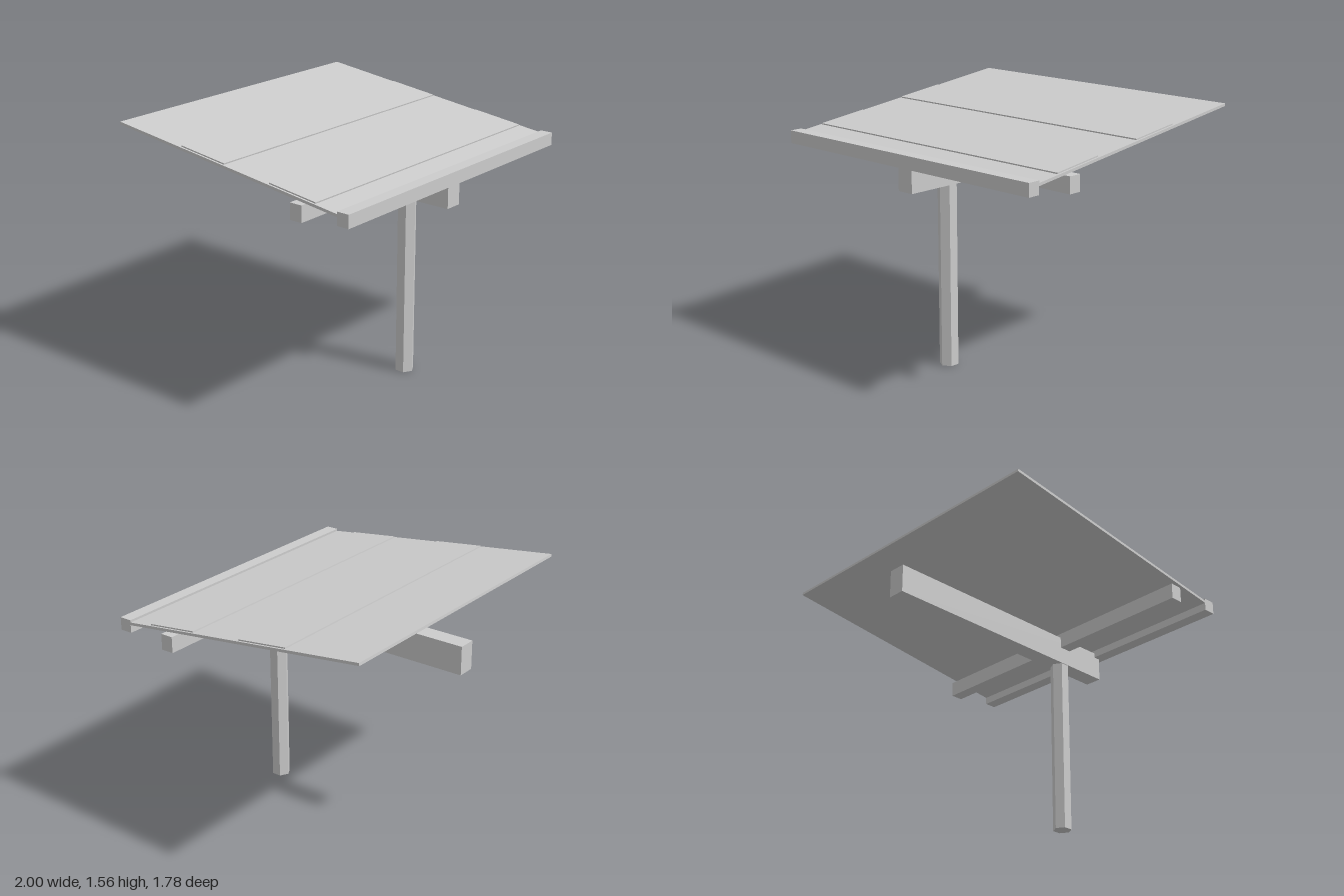
import * as THREE from 'three';

export function createModel() {
  const model = new THREE.Group();
  model.name = 'cantileverCanopy';
  const grey = new THREE.MeshStandardMaterial({ color: 0xcccccc, flatShading: true });
  grey.name = 'plain grey';

  const add = (parent, name, geometry, x, y, z) => {
    const mesh = new THREE.Mesh(geometry, grey);
    mesh.name = name;
    mesh.position.set(x, y, z);
    parent.add(mesh);
    return mesh;
  };
  const box = (parent, name, w, h, d, x, y, z) =>
    add(parent, name, new THREE.BoxGeometry(w, h, d), x, y, z);

  // Hexagonal post carrying the main beam
  add(model, 'post', new THREE.CylinderGeometry(0.059, 0.059, 1.135, 6), 0, 0.5675, 0.517);
  box(model, 'mainBeam', 0.112, 0.18, 1.74, 0, 1.225, -0.02);

  // Rails running across the roof
  box(model, 'crossRail', 2, 0.1, 0.082, 0, 1.294, 0.518);
  box(model, 'frontRail', 2, 0.08, 0.08, 0, 1.325, 0.846);

  // Sloping roof; its local origin lies on the top surface
  const tilt = Math.atan(0.123);
  const roof = new THREE.Group();
  roof.name = 'roof';
  roof.position.set(0, 1.45, 0);
  roof.rotation.x = tilt;
  model.add(roof);
  const along = (z) => z / Math.cos(tilt);
  const back = along(-0.857), front = along(0.84);
  box(roof, 'roofPanel', 2, 0.017, front - back, 0, -0.0085, (front + back) / 2);

  // Thin raised panels on the roof
  for (const z of [0.483, -0.189]) {
    box(roof, 'raisedPanel', 1.976, 0.008, along(0.333), 0, 0.004, along(z));
  }
  return model;
}
